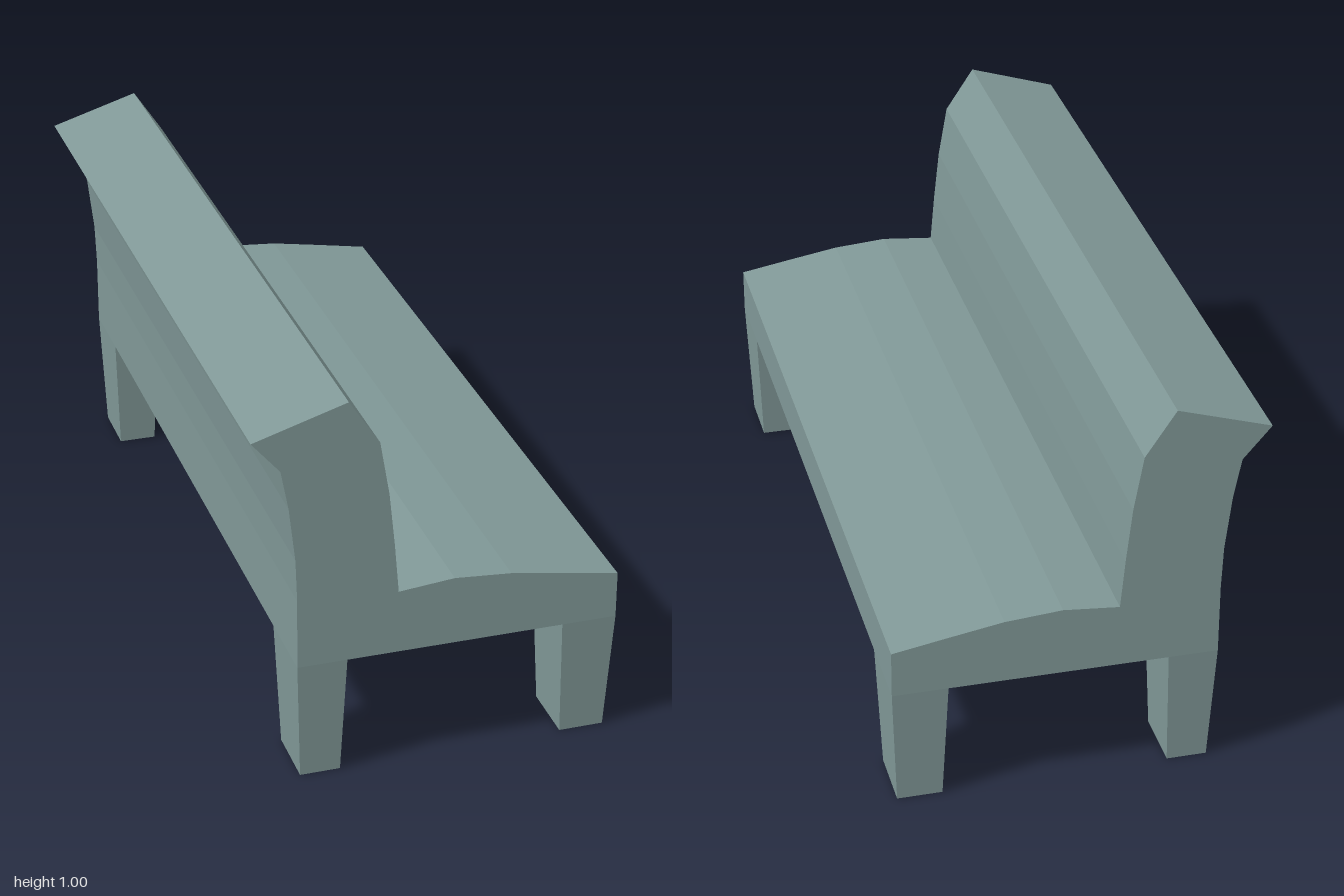
import * as THREE from 'three';

const paint = new THREE.MeshStandardMaterial({ color: 0x809897, flatShading: true });
paint.name = 'grey green';

// Leg tapering from a top rectangle to a smaller foot, x and z ranges given as [min, max]
function makeLeg(topX, footX, topZ, footZ, height) {
  const geo = new THREE.BoxGeometry(1, height, 1);
  geo.translate(0, height / 2, 0);
  const p = geo.attributes.position;
  for (let i = 0; i < p.count; i++) {
    const isTop = p.getY(i) > height / 2;
    const xs = isTop ? topX : footX;
    const zs = isTop ? topZ : footZ;
    p.setX(i, xs[p.getX(i) > 0 ? 1 : 0]);
    p.setZ(i, zs[p.getZ(i) > 0 ? 1 : 0]);
  }
  geo.computeVertexNormals();
  return new THREE.Mesh(geo, paint);
}

export function createModel() {
  const bench = new THREE.Group();
  bench.name = 'bench';
  const underside = 0.318;

  // Seat and backrest share one side profile, swept along the length
  const profile = [
    [-0.35, underside], [0.457, underside], [0.457, 0.438],
    [0.32, 0.462], [0.183, 0.485], [0.04, 0.496], [-0.1, 0.483],
    [-0.111, 0.61], [-0.126, 0.75], [-0.15, 0.889],
    [-0.226, 1.004], [-0.459, 0.932], [-0.389, 0.85],
    [-0.37, 0.75], [-0.354, 0.61], [-0.35, 0.5],
  ];
  const shape = new THREE.Shape(profile.map(([x, y]) => new THREE.Vector2(x, y)));
  const bodyGeo = new THREE.ExtrudeGeometry(shape, { depth: 2, bevelEnabled: false });
  bodyGeo.translate(0, 0, -1);
  const body = new THREE.Mesh(bodyGeo, paint);
  body.name = 'seatAndBackrest';
  bench.add(body);

  // Four tapered legs, one pair at each end
  for (const side of [1, -1]) {
    const end = side > 0 ? 'Front' : 'Rear';
    const topZ = side > 0 ? [0.8, 1] : [-1, -0.8];
    const footZ = side > 0 ? [0.82, 0.98] : [-0.98, -0.82];
    const backLeg = makeLeg([-0.35, -0.226], [-0.338, -0.237], topZ, footZ, underside);
    backLeg.name = 'backrestLeg' + end;
    const seatLeg = makeLeg([0.319, 0.457], [0.331, 0.444], topZ, footZ, underside);
    seatLeg.name = 'seatLeg' + end;
    bench.add(backLeg, seatLeg);
  }
  return bench;
}
